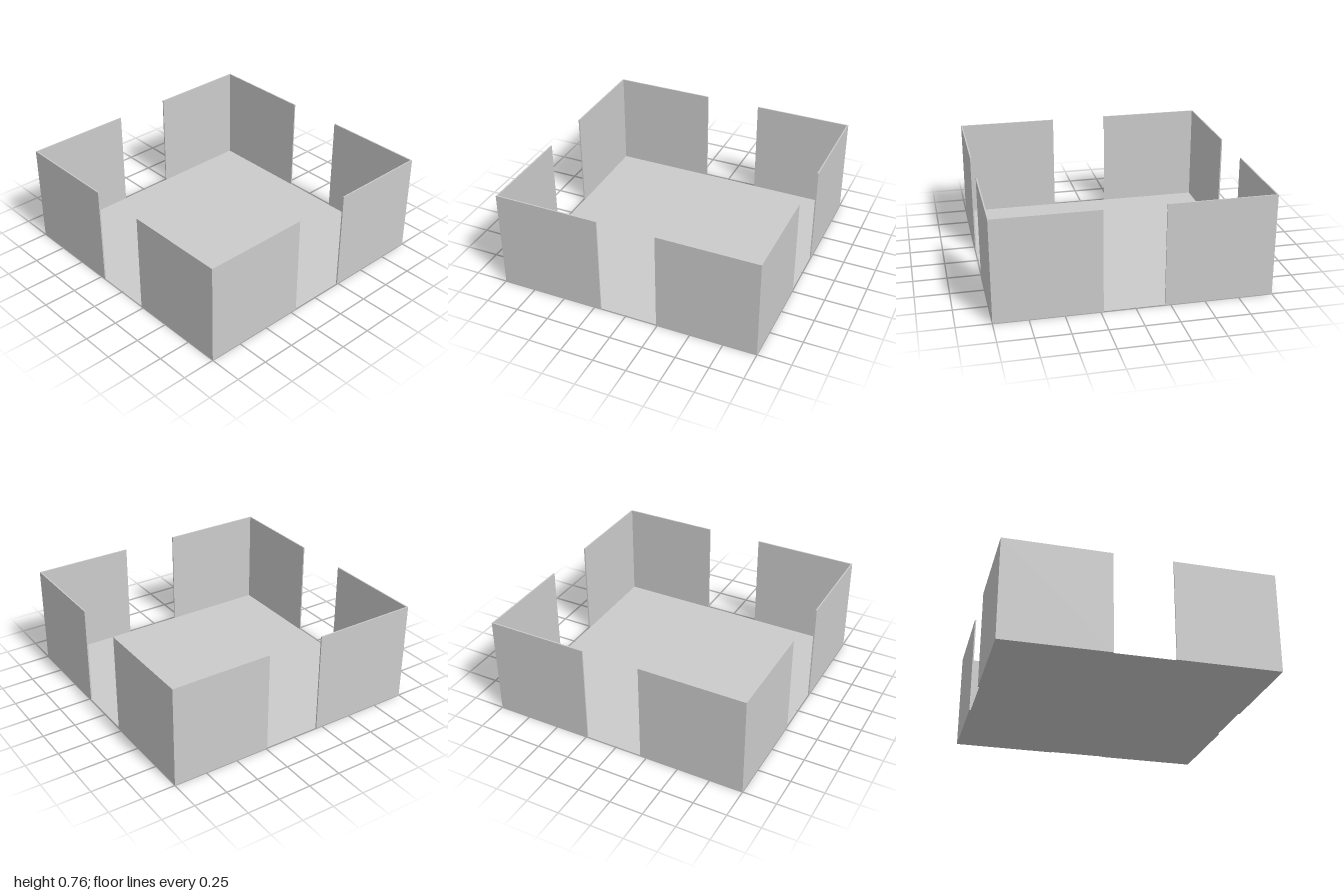
import * as THREE from 'three';

const HEIGHT = 0.765;
const T = 0.01; // wall thickness
const GAP_X = [-0.21, 0.23]; // doorway edges in the front and back walls
const GAP_Z = [-0.24, 0.2]; // doorway edges in the side walls

export function createModel() {
  const group = new THREE.Group();
  const material = new THREE.MeshStandardMaterial({ color: 0xcccccc, flatShading: true });

  // Thin floor sheet, set inside the walls
  const floorMaterial = material.clone();
  floorMaterial.side = THREE.DoubleSide;
  const floorGeometry = new THREE.PlaneGeometry(2 - 2 * T, 2 - 2 * T).rotateX(-Math.PI / 2);
  const floor = new THREE.Mesh(floorGeometry, floorMaterial);
  floor.name = 'floor';
  group.add(floor);

  // One L-shaped wall per corner, with doorways left between them
  for (const sx of [-1, 1]) {
    for (const sz of [-1, 1]) {
      const endX = GAP_X[sx < 0 ? 0 : 1];
      const endZ = GAP_Z[sz < 0 ? 0 : 1];
      const innerX = sx * (1 - T);
      const innerZ = sz * (1 - T);
      // Plan outline; shape y becomes -z once the extrusion is stood up
      const outline = [
        [sx, sz], [endX, sz], [endX, innerZ],
        [innerX, innerZ], [innerX, endZ], [sx, endZ],
      ].map(([x, z]) => new THREE.Vector2(x, -z));
      const geometry = new THREE.ExtrudeGeometry(new THREE.Shape(outline), {
        depth: HEIGHT,
        bevelEnabled: false,
      }).rotateX(-Math.PI / 2);
      const wall = new THREE.Mesh(geometry, material);
      wall.name = `${sz > 0 ? 'front' : 'back'}${sx > 0 ? 'Left' : 'Right'}CornerWall`;
      group.add(wall);
    }
  }
  return group;
}
